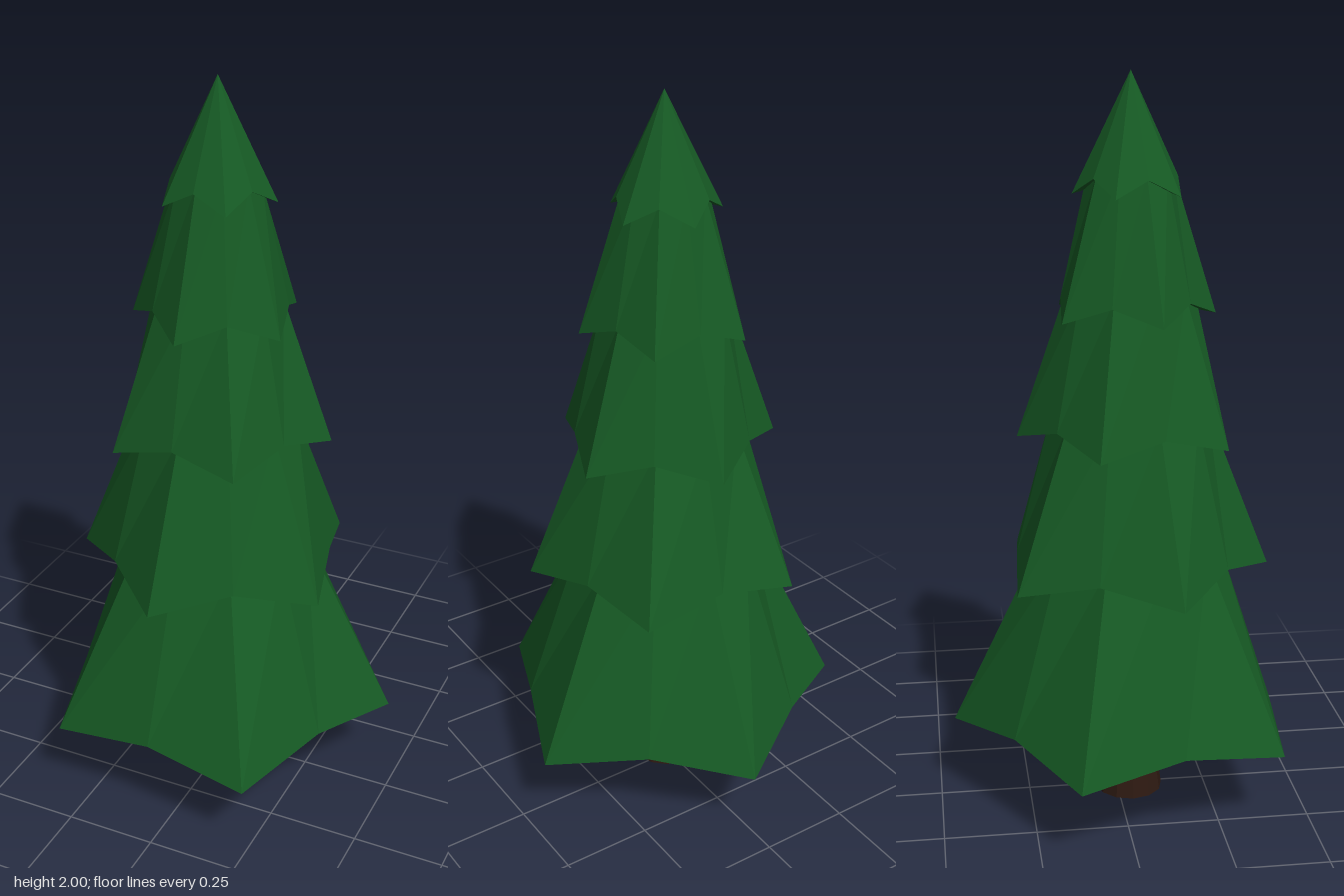
import * as THREE from 'three';

const CX = -0.01, CZ = 0.035; // axis of the tree
const DEG = Math.PI / 180;

// One tier of branches: five low, far corners alternating with raised, nearer edge middles.
function tierGeometry({ radius, cornerY, midY, topRadius, topY, turn }) {
  const lower = [], upper = [];
  for (let i = 0; i < 10; i++) {
    const corner = i % 2 === 0;
    const a = (turn + i * 36) * DEG;
    const r = corner ? radius : radius * Math.cos(36 * DEG);
    lower.push([r * Math.cos(a), corner ? cornerY : midY, r * Math.sin(a)]);
    upper.push([topRadius * Math.cos(a), topY, topRadius * Math.sin(a)]);
  }
  const positions = [];
  const face = (...corners) => corners.forEach((c) => positions.push(...c));
  const centre = [0, midY, 0];
  for (let i = 0; i < 10; i++) {
    const j = (i + 1) % 10;
    face(lower[j], lower[i], upper[i]); // sloping side
    if (topRadius > 0) face(lower[j], upper[i], upper[j]);
    face(centre, lower[i], lower[j]); // underside
  }
  const geometry = new THREE.BufferGeometry();
  geometry.setAttribute('position', new THREE.Float32BufferAttribute(positions, 3));
  geometry.computeVertexNormals();
  return geometry;
}

export function createModel() {
  const tree = new THREE.Group();
  tree.name = 'pineTree';
  const green = new THREE.MeshStandardMaterial({ color: 0x165a24, flatShading: true });
  const brown = new THREE.MeshStandardMaterial({ color: 0x2e1a12, flatShading: true });

  // Trunk, flared at the foot
  const profile = [[0, 0], [0.093, 0], [0.081, 0.09], [0.073, 0.18], [0.066, 0.3], [0, 0.3]];
  const trunk = new THREE.Mesh(
    new THREE.LatheGeometry(profile.map(([r, y]) => new THREE.Vector2(r, y)), 12),
    brown
  );
  trunk.name = 'trunk';
  trunk.position.set(CX, 0, CZ);
  tree.add(trunk);

  // Branch tiers, bottom to top, each turned half a corner from the one below
  const tiers = [
    { radius: 0.493, cornerY: 0.22, midY: 0.265, topRadius: 0.245, topY: 0.74 },
    { radius: 0.382, cornerY: 0.67, midY: 0.718, topRadius: 0.21, topY: 1.11 },
    { radius: 0.304, cornerY: 1.045, midY: 1.09, topRadius: 0.168, topY: 1.44 },
    { radius: 0.227, cornerY: 1.375, midY: 1.42, topRadius: 0.11, topY: 1.75 },
    { radius: 0.152, cornerY: 1.69, midY: 1.735, topRadius: 0, topY: 2 },
  ];
  tiers.forEach((tier, i) => {
    const mesh = new THREE.Mesh(tierGeometry({ ...tier, turn: i % 2 ? 22 : -14 }), green);
    mesh.name = `branchTier${i + 1}`;
    mesh.position.set(CX, 0, CZ);
    tree.add(mesh);
  });

  return tree;
}
